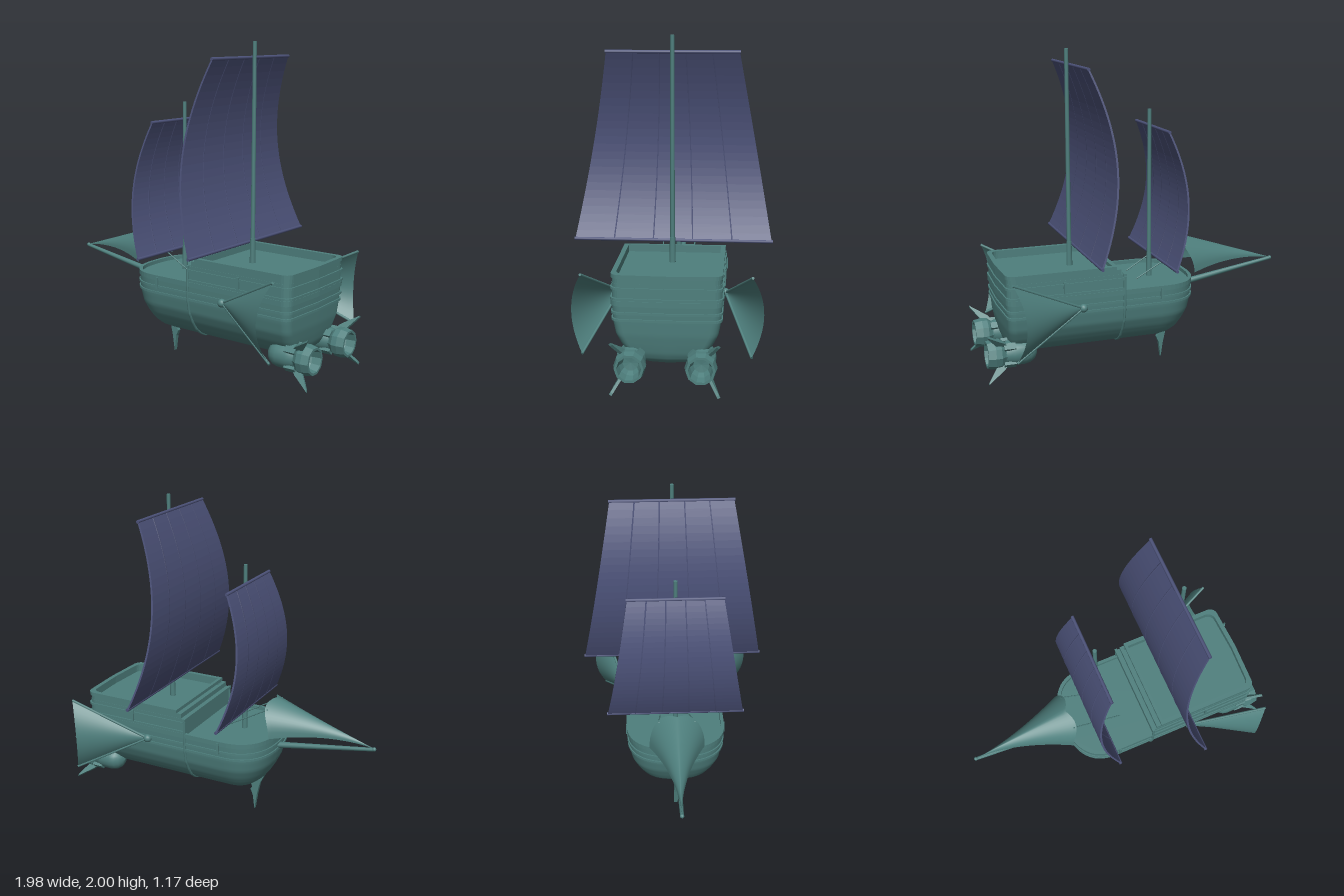
import * as THREE from 'three';

const V = (x, y, z) => new THREE.Vector3(x, y, z);
const teal = new THREE.MeshStandardMaterial({ color: 0x4e7f7d, side: THREE.DoubleSide });
const cloth = new THREE.MeshStandardMaterial({ color: 0x4c5279, side: THREE.DoubleSide });

export function createModel() {
  const ship = new THREE.Group();
  const add = (name, geo, mat = teal, parent = ship) => {
    const m = new THREE.Mesh(geo, mat);
    m.name = name;
    parent.add(m);
    return m;
  };

  // Round bar between two points
  const bar = (name, a, b, r0, r1 = r0, mat = teal, parent = ship) => {
    const m = add(name, new THREE.CylinderGeometry(r1, r0, a.distanceTo(b), 10), mat, parent);
    m.position.copy(a).lerp(b, 0.5);
    m.quaternion.setFromUnitVectors(V(0, 1, 0), b.clone().sub(a).normalize());
    return m;
  };

  // Smooth surface from a function of u and v
  const surface = (nu, nv, f) => {
    const pos = [], idx = [];
    for (let i = 0; i <= nu; i++) for (let j = 0; j <= nv; j++) pos.push(...f(i / nu, j / nv));
    for (let i = 0; i < nu; i++) for (let j = 0; j < nv; j++) {
      const a = i * (nv + 1) + j, b = a + nv + 1;
      idx.push(a, b, a + 1, b, b + 1, a + 1);
    }
    const g = new THREE.BufferGeometry();
    g.setAttribute('position', new THREE.Float32BufferAttribute(pos, 3));
    g.setIndex(idx);
    g.computeVertexNormals();
    return g;
  };

  // Hull levels: height, bow x, stern x, half width
  const levels = [
    [0.21, -0.2, 0.8, 0.13], [0.235, -0.24, 0.825, 0.18], [0.27, -0.28, 0.84, 0.22], [0.32, -0.31, 0.85, 0.255],
    [0.38, -0.34, 0.86, 0.285], [0.46, -0.358, 0.865, 0.3], [0.56, -0.36, 0.87, 0.305], [0.74, -0.36, 0.87, 0.302],
  ];
  const level = (y) => {
    let i = 0;
    while (i < levels.length - 2 && y > levels[i + 1][0]) i++;
    const a = levels[i], b = levels[i + 1], t = (y - a[0]) / (b[0] - a[0]);
    return a.map((v, k) => v + (b[k] - v) * t);
  };

  // Plan outline at a height; a start x cuts the bow off square
  const outline = (y, grow = 0, cut = null) => {
    const [, xb, xs0, w0] = level(y), w = w0 + grow, xs = xs0 + grow, half = [];
    if (cut === null) {
      for (let i = 0; i <= 14; i++) {
        const a = (i / 14) * Math.PI / 2;
        half.push([-0.1 + (xb - grow + 0.1) * Math.cos(a) ** 0.8, w * Math.sin(a) ** 0.8]);
      }
    } else half.push([cut, w]);
    for (let i = 0; i <= 5; i++) {
      const a = (i / 5) * Math.PI / 2;
      half.push([xs - 0.06 + 0.05 * Math.sin(a), w - 0.05 + 0.05 * Math.cos(a)]);
    }
    half.push([xs, 0]);
    return half.concat(half.slice(cut === null ? 1 : 0, -1).reverse().map(([x, z]) => [x, -z]));
  };
  const shapeOf = (pts) => new THREE.Shape(pts.map((p) => new THREE.Vector2(...p)));

  // Horizontal slab of an outline, with an optional opening
  const slab = (name, pts, y, h, hole) => {
    const s = shapeOf(pts);
    if (hole) s.holes.push(shapeOf(hole));
    const g = new THREE.ExtrudeGeometry(s, { depth: h, bevelEnabled: false }).rotateX(-Math.PI / 2);
    return add(name, g.translate(0, y, 0));
  };

  // Hull, decks, rims and wales
  const rows = 24;
  const rings = Array.from({ length: rows + 1 }, (_, i) => 0.21 + 0.35 * (i / rows) ** 1.5).map((y) => ({ y, p: outline(y) }));
  const count = rings[0].p.length;
  add('hull', surface(rows, count, (u, v) => {
    const r = rings[Math.round(u * rows)], p = r.p[Math.round(v * count) % count];
    return [p[0], r.y, p[1]];
  }));
  slab('hullBottom', outline(0.21), 0.21, 0.004);
  slab('foredeck', outline(0.56), 0.55, 0.01);
  slab('foreRim', outline(0.57, 0.006), 0.555, 0.028, outline(0.57, -0.015));
  slab('sternCastle', outline(0.6, 0, 0.15), 0.56, 0.12);
  slab('sternRim', outline(0.72, 0, 0.17), 0.68, 0.03, outline(0.72, -0.018, 0.19));
  slab('sternRimCap', outline(0.72, 0.006, 0.2), 0.71, 0.022, outline(0.72, -0.022, 0.22));
  for (const y of [0.465, 0.505]) slab('wale', outline(y, 0.008), y, 0.014);
  for (const y of [0.585, 0.645]) slab('sternWale', outline(y, 0.008, 0.15), y, 0.014);

  // Rib wrapped around the hull amidships
  const rib = [0.66, 0.56, 0.46, 0.38, 0.32, 0.27, 0.235, 0.21].map((y) => V(0.147, y, level(y)[3] + 0.002));
  const ribPath = new THREE.CurvePath();
  const ribPts = [...rib, ...rib.slice().reverse().map((p) => V(p.x, p.y, -p.z))];
  ribPts.slice(1).forEach((p, i) => ribPath.add(new THREE.LineCurve3(ribPts[i], p)));
  add('hullRib', new THREE.TubeGeometry(ribPath, 80, 0.009, 6));
  add('ribTop', new THREE.BoxGeometry(0.018, 0.015, 0.625)).position.set(0.147, 0.675, 0);

  // Cleats on the sides
  for (const s of [1, -1]) for (const [x, y] of [[-0.09, 0.535], [0.52, 0.635]]) {
    add('cleat', new THREE.BoxGeometry(0.014, 0.07, 0.024)).position.set(x, y, s * 0.305);
  }

  // Keel fin
  const fin = shapeOf([[-0.27, 0.26], [-0.235, 0.19], [-0.215, 0.1], [-0.2, 0], [-0.187, 0.1], [-0.17, 0.14], [-0.182, 0.155], [-0.17, 0.19], [-0.14, 0.22]]);
  add('keelFin', new THREE.ExtrudeGeometry(fin, { depth: 0.024, bevelEnabled: false }).translate(0, 0, -0.012));

  // Mast with a square sail that narrows upward and bellies toward the bow
  const rig = (name, x, deck, top, s) => {
    const g = new THREE.Group();
    g.name = name;
    ship.add(g);
    bar('mast', V(x, deck, 0), V(x, top, 0), 0.014, 0.012, teal, g);
    bar('mastFoot', V(x, deck, 0), V(x, deck + 0.16, 0), 0.019, 0.016, teal, g);
    const half = (y) => s.wBottom + (s.wTop - s.wBottom) * (y - s.y0) / (s.y1 - s.y0);
    const at = (t, off = 0) => {
      const k = Math.sin(Math.PI * t) * 0.3 + 4 * t * (1 - t) * 0.7;
      return [s.x0 + (s.x1 - s.x0) * t - s.belly * k + off, s.y0 + (s.y1 - s.y0) * t];
    };
    const ts = Array.from({ length: 25 }, (_, i) => i / 24);
    const band = shapeOf([...ts.map((t) => at(t, -0.006)), ...ts.slice().reverse().map((t) => at(t, 0.006))]);
    const geo = new THREE.ExtrudeGeometry(band, { depth: 2, bevelEnabled: false }).translate(0, 0, -1);
    const p = geo.attributes.position;
    for (let i = 0; i < p.count; i++) p.setZ(i, p.getZ(i) * half(p.getY(i)));
    geo.computeVertexNormals();
    add('sail', geo, cloth, g);
    for (const f of [-0.6, -0.2, 0.2, 0.6]) {
      const seam = new THREE.CatmullRomCurve3(ts.map((t) => V(...at(t), f * half(at(t)[1]))));
      add('sailSeam', new THREE.TubeGeometry(seam, 24, 0.008, 5), cloth, g);
    }
    for (const t of [0, 1]) {
      const [yx, yy] = at(t), w = half(yy) + 0.006;
      bar('yard', V(yx, yy, -w), V(yx, yy, w), 0.01, 0.01, cloth, g);
    }
  };
  rig('foreRig', -0.12, 0.55, 1.625, { x0: -0.14, x1: -0.14, y0: 0.7, y1: 1.515, wBottom: 0.425, wTop: 0.285, belly: 0.097 });
  rig('mainRig', 0.405, 0.67, 2, { x0: 0.375, x1: 0.385, y0: 0.805, y1: 1.905, wBottom: 0.58, wTop: 0.38, belly: 0.13 });

  // Bowsprit and the arched sail above it
  bar('bowsprit', V(-0.33, 0.485, 0), V(-0.985, 0.595, 0), 0.02, 0.011);
  add('bowspritTip', new THREE.SphereGeometry(0.013, 10, 8)).position.set(-0.98, 0.596, 0);
  add('bowSail', surface(24, 24, (u, v) => {
    const a = (v - 0.5) * Math.PI, c = Math.cos(a), s = Math.sin(a);
    const end = -0.365 + 0.025 * c + 0.045 * Math.sin(2 * Math.abs(a)) * c;
    const base = 0.6 + 0.1 * u * (1 - u), ridge = 0.6 + 0.21 * u;
    return [-0.98 + (end + 0.98) * u, base + (ridge - base) * c ** 0.8, 0.17 * u ** 1.7 * s];
  }));
  for (const s of [1, -1]) bar('bowSailRope', V(-0.33, 0.765, s * 0.11), V(0, 0.575, s * 0.095), 0.004);

  for (const s of [1, -1]) {
    // Side fan: two spars from a hub with a bulging web between
    const hub = V(0.41, 0.5, s * 0.315);
    const up = V(0.865, 0.73, s * 0.47), low = V(0.85, 0.27, s * 0.47);
    add('fanHub', new THREE.SphereGeometry(0.026, 14, 10)).position.copy(hub);
    bar('fanSpar', hub, up, 0.008);
    bar('fanSpar', hub, low, 0.008);
    add('fanWeb', surface(14, 16, (u, v) => {
      const b = 4 * v * (1 - v), p = up.clone().lerp(low, v);
      p.x -= 0.055 * b;
      p.z += s * 0.065 * b;
      const q = hub.clone().lerp(p, u);
      return [q.x, q.y, q.z];
    }));

    // Engine: rounded nose, collar, open nozzle and outer fins
    const engine = new THREE.Group();
    engine.name = 'engine';
    engine.position.set(0.67, 0.235, s * 0.195);
    ship.add(engine);
    const lathe = (name, pts, n) =>
      add(name, new THREE.LatheGeometry(pts.map((p) => new THREE.Vector2(...p)), n).rotateZ(-Math.PI / 2), teal, engine);
    lathe('engineNose', [[0, 0], [0.03, 0.006], [0.055, 0.023], [0.072, 0.048], [0.079, 0.08], [0.079, 0.15], [0.07, 0.18], [0.065, 0.2]], 20);
    const nozzle = lathe('engineNozzle', [[0.062, 0.17], [0.07, 0.2], [0.088, 0.225], [0.09, 0.26], [0.082, 0.305], [0.068, 0.305], [0.06, 0.25], [0.045, 0.215], [0, 0.21]], 10);
    nozzle.geometry = nozzle.geometry.toNonIndexed();
    nozzle.geometry.computeVertexNormals();
    for (let i = 0; i < 4; i++) {
      const clamp = new THREE.Group();
      clamp.rotation.x = (i * Math.PI) / 2 + Math.PI / 4;
      engine.add(clamp);
      add('engineClamp', new THREE.BoxGeometry(0.07, 0.02, 0.04), teal, clamp).position.set(0.175, 0.078, 0);
    }
    const blade = shapeOf([[0.17, 0.06], [0.21, 0.105], [0.315, 0.18], [0.31, 0.165], [0.255, 0.085], [0.24, 0.06]]);
    for (const a of [0.6, Math.PI - 0.6]) {
      const f = add('engineFin', new THREE.ExtrudeGeometry(blade, { depth: 0.016, bevelEnabled: false }).translate(0, 0, -0.008), teal, engine);
      f.rotation.x = s * a;
    }
    bar('engineStrut', V(0.76, 0.26, s * 0.19), V(0.76, 0.34, s * 0.16), 0.03);
  }
  return ship;
}
